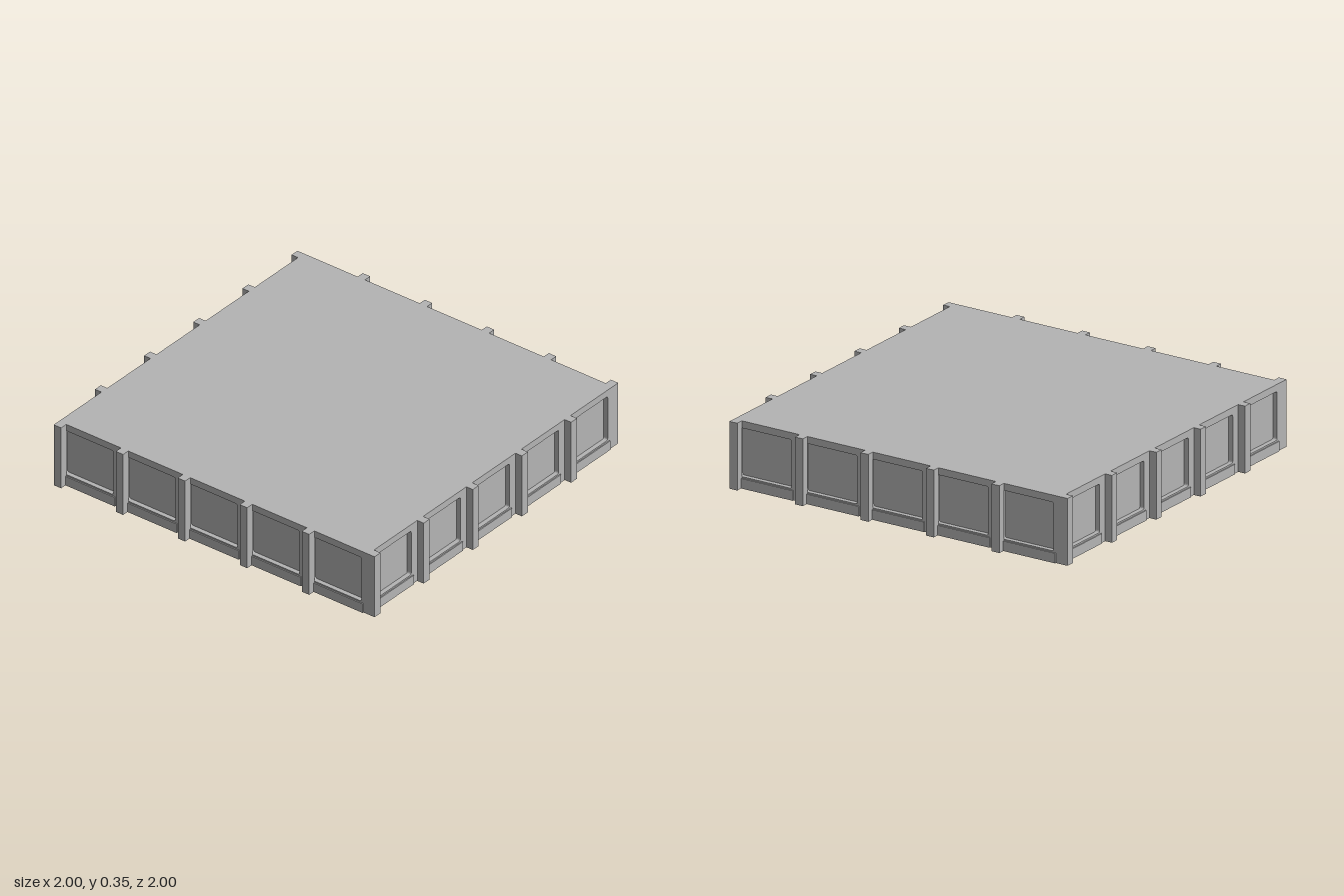
import * as THREE from 'three';

const HEIGHT = 0.35;   // overall height
const WALL = 0.96;     // half width to the wall face
const DEPTH = 0.025;   // recess of the panels
const PITCH = 0.385;   // spacing of ribs and panels
const BAYS = 5;

// Rounded rectangle opening for one panel
function panelHole(x0, x1, y0, y1, r) {
  const p = new THREE.Path();
  p.moveTo(x0 + r, y0);
  p.lineTo(x1 - r, y0);
  p.quadraticCurveTo(x1, y0, x1, y0 + r);
  p.lineTo(x1, y1 - r);
  p.quadraticCurveTo(x1, y1, x1 - r, y1);
  p.lineTo(x0 + r, y1);
  p.quadraticCurveTo(x0, y1, x0, y1 - r);
  p.lineTo(x0, y0 + r);
  p.quadraticCurveTo(x0, y0, x0 + r, y0);
  return p;
}

export function createModel() {
  const model = new THREE.Group();
  model.name = 'platform';
  const concrete = new THREE.MeshStandardMaterial({ color: 0xb4b4b4 });
  concrete.name = 'concreteGrey';

  function addBox(parent, name, w, h, d, x, y, z) {
    const mesh = new THREE.Mesh(new THREE.BoxGeometry(w, h, d), concrete);
    mesh.name = name;
    mesh.position.set(x, y, z);
    parent.add(mesh);
  }

  // Solid core; its sides are the recessed panel faces
  const core = 2 * (WALL - DEPTH);
  addBox(model, 'core', core, HEIGHT, core, 0, HEIGHT / 2, 0);

  // Wall frame with one opening per bay, interlocking at the corners
  const frame = new THREE.Shape();
  frame.moveTo(-WALL, 0);
  frame.lineTo(WALL - DEPTH, 0);
  frame.lineTo(WALL - DEPTH, HEIGHT);
  frame.lineTo(-WALL, HEIGHT);
  frame.closePath();
  for (let i = 0; i < BAYS; i++) {
    const x = -0.926 + i * PITCH;
    frame.holes.push(panelHole(x, x + 0.304, 0.06, 0.313, 0.01));
  }
  const frameGeometry = new THREE.ExtrudeGeometry(frame, { depth: DEPTH, bevelEnabled: false, curveSegments: 3 });

  // Four identical sides, turned around the centre
  ['front', 'left', 'back', 'right'].forEach((side, k) => {
    const wall = new THREE.Group();
    wall.name = side + 'Wall';
    wall.rotation.y = k * Math.PI / 2;

    const mesh = new THREE.Mesh(frameGeometry, concrete);
    mesh.name = 'panelFrame';
    mesh.position.z = WALL - DEPTH;
    wall.add(mesh);

    for (let i = 0; i < BAYS; i++) {
      // Vertical rib at the start of the bay and a shallow sill beside it
      const x = -0.937 + i * PITCH;
      addBox(wall, 'rib', 0.046, HEIGHT, 0.04, x, HEIGHT / 2, WALL + 0.02);
      addBox(wall, 'sill', 0.305, 0.052, 0.006, x + 0.175, 0.026, WALL + 0.003);
    }
    model.add(wall);
  });

  return model;
}
